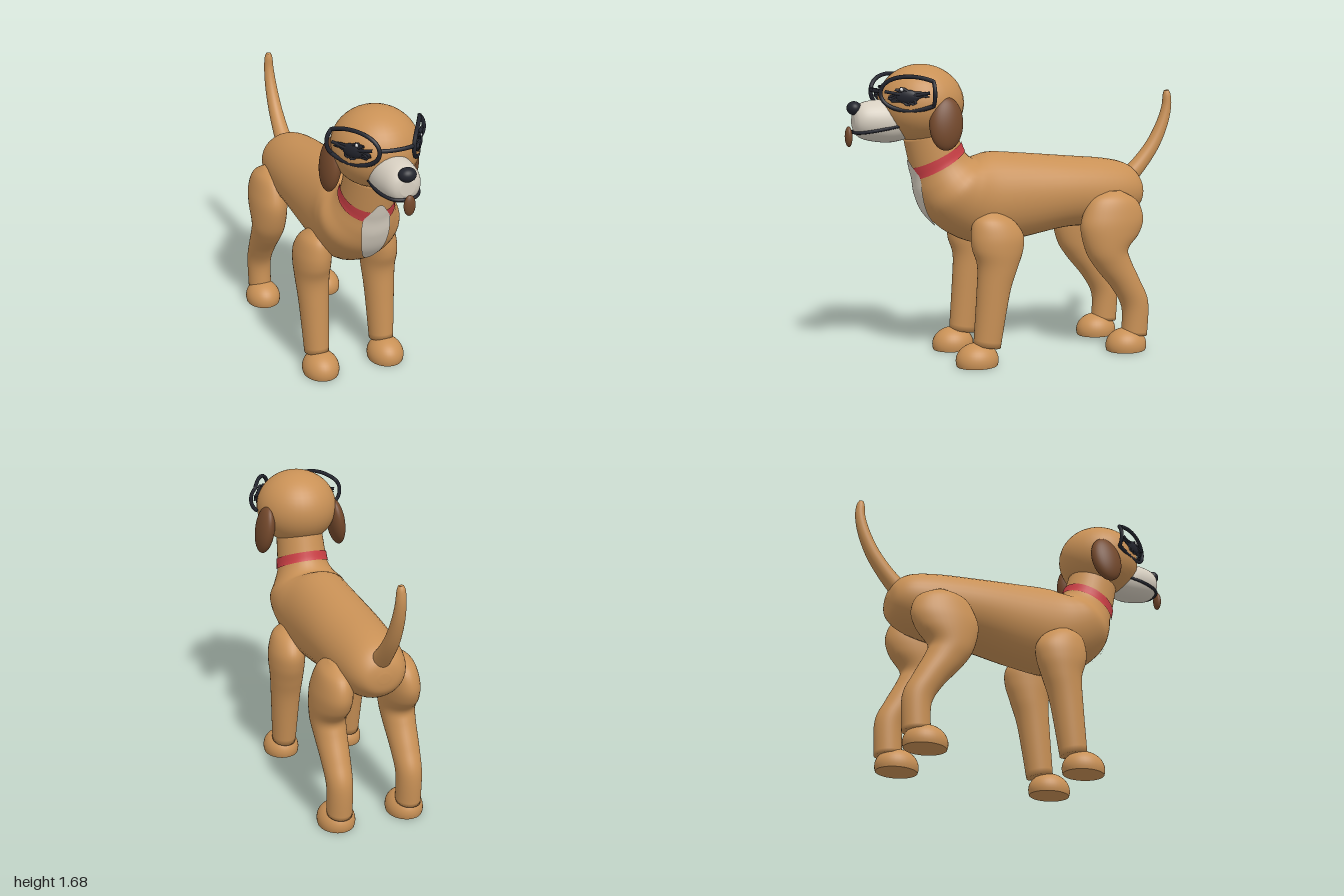
import * as THREE from 'three';

const mat = (name, color) => Object.assign(new THREE.MeshStandardMaterial({ color }), { name });

// Section: [centre x, half width, z and y of one rim point, z and y of the opposite rim point]
const BODY = [
  [0, 0.03, -0.78, 0.94, -0.78, 0.89], [0, 0.11, -0.76, 1.01, -0.76, 0.82],
  [0, 0.165, -0.69, 1.075, -0.67, 0.76], [0, 0.195, -0.55, 1.112, -0.5, 0.725],
  [0, 0.21, -0.3, 1.138, -0.28, 0.72], [0, 0.215, 0, 1.168, 0, 0.675],
  [0, 0.22, 0.16, 1.18, 0.24, 0.66], [0, 0.23, 0.23, 1.165, 0.42, 0.73],
  [0, 0.225, 0.27, 1.15, 0.545, 0.84], [0, 0.18, 0.3, 1.165, 0.6, 0.95],
  [0, 0.15, 0.33, 1.2, 0.618, 1.045], [0, 0.143, 0.35, 1.25, 0.635, 1.11],
  [0, 0.135, 0.38, 1.34, 0.67, 1.27]];
const MUZZLE = [
  [0, 0.09, 0.62, 1.46, 0.62, 1.28], [0, 0.115, 0.74, 1.485, 0.74, 1.255],
  [0, 0.116, 0.82, 1.49, 0.82, 1.258], [0, 0.1, 0.9, 1.478, 0.9, 1.275],
  [0, 0.075, 0.942, 1.45, 0.94, 1.3], [0, 0.04, 0.957, 1.41, 0.957, 1.335]];
const FRONT_LEG = [
  [0.18, 0.03, 0.27, 0.865, 0.19, 0.865], [0.19, 0.08, 0.33, 0.82, 0.1, 0.81],
  [0.2, 0.1, 0.35, 0.74, 0.045, 0.73], [0.205, 0.102, 0.345, 0.66, 0.05, 0.64],
  [0.205, 0.095, 0.315, 0.56, 0.085, 0.54], [0.205, 0.085, 0.32, 0.4, 0.13, 0.4],
  [0.205, 0.07, 0.34, 0.12, 0.185, 0.09]];
const REAR_LEG = [
  [0.18, 0.03, -0.49, 0.943, -0.57, 0.943], [0.185, 0.08, -0.39, 0.905, -0.675, 0.88],
  [0.195, 0.1, -0.335, 0.81, -0.71, 0.78], [0.2, 0.105, -0.32, 0.72, -0.68, 0.69],
  [0.205, 0.098, -0.355, 0.59, -0.61, 0.61], [0.205, 0.09, -0.42, 0.49, -0.625, 0.54],
  [0.205, 0.08, -0.52, 0.37, -0.69, 0.41], [0.205, 0.072, -0.585, 0.25, -0.745, 0.28],
  [0.205, 0.07, -0.585, 0.1, -0.74, 0.08]];

// Smoothly blended section at position u along a list
function sectionAt(list, u) {
  const n = list.length - 1;
  const i = Math.min(Math.max(Math.floor(u), 0), n - 1), t = u - i;
  const [a, b, c, d] = [i - 1, i, i + 1, i + 2].map(k => list[Math.min(Math.max(k, 0), n)]);
  return b.map((p, k) => p + 0.5 * t * (c[k] - a[k]
    + t * (2 * a[k] - 5 * p + 4 * c[k] - d[k] + t * (3 * (p - c[k]) + d[k] - a[k]))));
}

// Point on a section's ellipse
function rimPoint([cx, w, z1, y1, z2, y2], angle, scale) {
  const c = Math.cos(angle) * 0.5 * scale;
  return [cx + w * scale * Math.sin(angle), (y1 + y2) / 2 + (y1 - y2) * c, (z1 + z2) / 2 + (z1 - z2) * c];
}

function loft(list, { from = 0, to = list.length - 1, scale = 1, caps = true, steps = 6, sides = 36 } = {}) {
  const count = Math.round((to - from) * steps);
  const rings = [];
  for (let i = 0; i <= count; i++) rings.push([from + (to - from) * i / count, scale]);
  if (caps) { rings.unshift([from, 0]); rings.push([to, 0]); }
  const pos = [], index = [];
  rings.forEach(([u, s], i) => {
    const section = sectionAt(list, u);
    for (let j = 0; j < sides; j++) {
      pos.push(...rimPoint(section, j / sides * Math.PI * 2, s));
      if (i === rings.length - 1) continue;
      const a = i * sides + j, b = i * sides + (j + 1) % sides;
      index.push(a, a + sides, b, b, a + sides, b + sides);
    }
  });
  const g = new THREE.BufferGeometry();
  g.setAttribute('position', new THREE.Float32BufferAttribute(pos, 3));
  g.setIndex(index);
  g.computeVertexNormals();
  return g;
}

const tube = (points, radius, closed = false, segments = 48) => new THREE.TubeGeometry(
  new THREE.CatmullRomCurve3(points.map(p => new THREE.Vector3(...p)), closed), segments, radius, 8, closed);

export function createModel() {
  const model = new THREE.Group();
  model.name = 'dog';
  const tan = mat('tan fur', 0xc99156), brown = mat('brown fur', 0x74492c);
  const cream = mat('cream fur', 0xd6cec0), red = mat('red collar', 0xcb3f45);
  const dark = mat('black', 0x23252e), white = mat('white', 0xffffff);

  const add = (name, geometry, material, parent = model) => {
    const m = new THREE.Mesh(geometry, material);
    m.name = name;
    parent.add(m);
    return m;
  };
  const ball = (name, material, [x, y, z], radii, parent = model) => {
    const m = add(name, new THREE.SphereGeometry(1, 36, 24), material, parent);
    m.position.set(x, y, z);
    m.scale.set(...radii);
    return m;
  };

  // Body, neck and collar
  add('body', loft(BODY), tan);
  add('collar', loft(BODY, { from: 10, to: 11, scale: 1.04, caps: false }), red);

  // Chest patch, laid on the body's surface
  const patch = new THREE.RingGeometry(0.001, 1, 48, 14);
  const p = patch.attributes.position;
  for (let i = 0; i < p.count; i++) {
    const s = sectionAt(BODY, 9.4 + 1.9 * p.getY(i));
    p.setXYZ(i, ...rimPoint(s, Math.PI - Math.asin(0.08 * p.getX(i) / s[1]), 1.043));
  }
  patch.computeVertexNormals();
  add('chestPatch', patch, cream);

  // Tail, swept along its curve
  const tail = [[-0.69, 0.97, 0.055], [-0.79, 1.07, 0.047], [-0.875, 1.18, 0.041],
    [-0.935, 1.3, 0.035], [-0.963, 1.4, 0.029], [-0.965, 1.47, 0.024], [-0.962, 1.5, 0.014]];
  add('tail', loft(tail.map(([z, y, r], i) => {
    const a = tail[Math.max(i - 1, 0)], b = tail[Math.min(i + 1, tail.length - 1)];
    const len = Math.hypot(b[0] - a[0], b[1] - a[1]);
    const dz = (b[0] - a[0]) / len * r, dy = (b[1] - a[1]) / len * r;
    return [0, r, z - dy, y + dz, z + dy, y - dz];
  })), tan);

  // Head, muzzle, nose, mouth and tongue
  ball('head', tan, [0, 1.465, 0.572], [0.235, 0.215, 0.24]);
  add('muzzle', loft(MUZZLE), cream);
  ball('nose', dark, [0, 1.447, 0.95], [0.048, 0.038, 0.04]);
  const smile = [[0.11, 1.35, 0.73], [0.112, 1.335, 0.82], [0.092, 1.322, 0.9], [0.058, 1.316, 0.943]];
  add('mouth', tube([...smile, [0, 1.315, 0.955], ...smile.map(([x, y, z]) => [-x, y, z]).reverse()], 0.009), dark);
  ball('tongue', brown, [0, 1.293, 0.983], [0.032, 0.056, 0.02]);

  // Flat-bottomed paw
  const profile = [[0, 0], [0.95, 0]];
  for (let i = 0; i <= 12; i++) {
    const a = -0.3 + (Math.PI / 2 + 0.3) * i / 12;
    profile.push([Math.max(Math.cos(a), 0), 0.03 + 0.1 * Math.sin(a)]);
  }
  const paw = new THREE.LatheGeometry(profile.map(q => new THREE.Vector2(...q)), 36);

  // Depth of the wraparound lens at a given distance from the middle
  const lensZ = x => {
    const t = x - 0.095;
    return Math.max(0.58, 0.83 - 1.2 * t - 2.6 * t * t);
  };
  const glasses = new THREE.Group();
  glasses.name = 'glasses';
  model.add(glasses);

  for (const s of [1, -1]) {
    const side = s > 0 ? 'left' : 'right';

    // Legs and paws
    for (const [part, list, z] of [['Front', FRONT_LEG, 0.322], ['Rear', REAR_LEG, -0.61]]) {
      add(side + part + 'Leg', loft(list.map(([x, ...rest]) => [x * s, ...rest])), tan);
      const foot = add(side + part + 'Paw', paw, tan);
      foot.position.set(0.205 * s, 0, z);
      foot.scale.set(0.105, 1, 0.123);
    }

    // Hanging ear
    const ear = ball(side + 'Ear', brown, [0.222 * s, 1.365, 0.5], [0.05, 0.145, 0.095]);
    ear.rotation.set(-0.1, 0, 0.15 * s);

    // Lens rim bent around the head
    const rim = [], knot = [];
    for (let i = 0; i < 48; i++) {
      const a = i / 48 * Math.PI * 2, x = 0.187 + 0.091 * Math.cos(a);
      rim.push([x * s, 1.53 + 0.091 * Math.sin(a), lensZ(x)]);
    }
    add(side + 'Rim', tube(rim, 0.0115, true, 128), dark, glasses);

    // Eye: dark centre with tangled strands around it
    const eye = ball(side + 'Eye', dark, [0.185 * s, 1.513, 0.705], [0.02, 0.038, 0.066]);
    eye.rotation.y = -0.53 * s;
    for (let i = 0; i < 15; i++) {
      const a = i * 2.4, r = i % 2 ? 0.03 : 0.058, x = 0.187 + r * Math.cos(a);
      knot.push([x * s, 1.515 + r * 0.8 * Math.sin(a), lensZ(x) + 0.015]);
    }
    add(side + 'EyeStrands', tube(knot, 0.008, true, 120), dark);
    add(side + 'Brow', tube([[0.125, 1.54], [0.16, 1.53], [0.2, 1.52], [0.255, 1.535]]
      .map(([x, y]) => [x * s, y, lensZ(x) + 0.02]), 0.009), dark);
    ball(side + 'EyeGlint', white, [0.178 * s, 1.553, 0.735], [0.01, 0.01, 0.01]);
  }

  // Bridge between the lenses
  add('bridge', tube([[-0.097, 1.54, 0.825], [-0.05, 1.54, 0.838], [0, 1.54, 0.842],
    [0.05, 1.54, 0.838], [0.097, 1.54, 0.825]], 0.0115), dark, glasses);

  return model;
}
